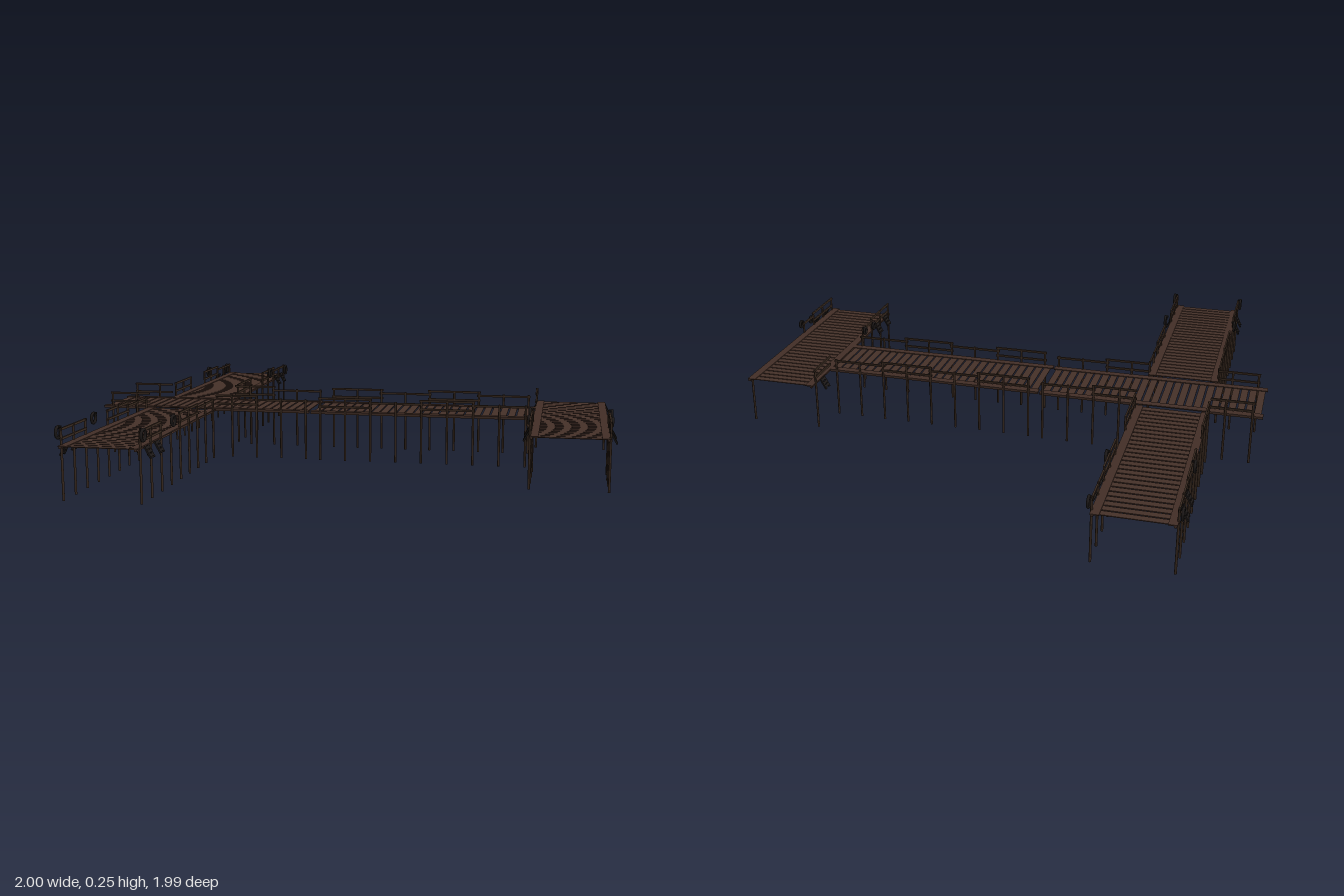
import * as THREE from 'three';

const mat = (name, color) => Object.assign(new THREE.MeshStandardMaterial({ color }), { name });

export function createModel() {
  const root = new THREE.Group();
  root.name = 'woodenPier';
  const plankWood = mat('plank brown', 0x463129);
  const edgeWood = mat('edge brown', 0x422e26);
  const postWood = mat('post dark brown', 0x38291f);
  const black = mat('fitting black', 0x1c1817);

  const DECK = 0.187, PITCH = 0.0985, SIDE = 0.136;

  // One pier section. u runs along the deck, v across it.
  function section(name, s) {
    const g = new THREE.Group();
    g.name = name;
    root.add(g);
    const [start, end] = s.span;
    const mid = (start + end) / 2, len = end - start;
    const place = (m, part, u, v, y) => {
      m.name = part;
      if (s.alongX) m.position.set(u, y, s.v + v);
      else m.position.set(s.v + v, y, u);
      g.add(m);
    };
    const box = (part, material, u, v, y, lu, lv, h) => place(
      new THREE.Mesh(s.alongX ? new THREE.BoxGeometry(lu, h, lv) : new THREE.BoxGeometry(lv, h, lu), material),
      part, u, v, y);

    // deck planks with gaps
    const n = 26, step = (len - 0.01) / n;
    for (let i = 0; i < n; i++) {
      box('plank', plankWood, mid + (i + 0.5 - n / 2) * step, 0, DECK - 0.001, step * 0.82, 0.25, 0.003);
    }

    const postU = i => s.postU + (i - 4) * PITCH;
    for (const side of [-1, 1]) {
      // flat edge boards and the beams under them
      box('edgeBoard', edgeWood, mid, side * 0.122, DECK + 0.001, len, 0.03, 0.004);
      for (const [a, b] of s.beams) {
        box('sideBeam', edgeWood, (a + b) / 2, side * 0.13, DECK - 0.003, b - a, 0.008, 0.009);
      }
      // railings: double or single, some on one side only
      const rails = s.rails.filter(r => !r[3] || r[3] === side);
      for (const [a, b, count] of rails) {
        for (const y of count === 2 ? [0.241, 0.209] : [0.228]) {
          box('rail', postWood, (postU(a) + postU(b)) / 2, side * SIDE, y, (b - a) * PITCH + 0.014, 0.006, 0.008);
        }
      }
      // posts, rising to the railing where there is one
      for (let i = 0; i <= 8; i++) {
        if (s.skip.includes(i)) continue;
        const spans = rails.filter(([a, b]) => i >= a && i <= b);
        let top = DECK;
        if (spans.length) top = spans.some(r => r[2] === 2) ? 0.245 : 0.235;
        place(new THREE.Mesh(new THREE.CylinderGeometry(0.0044, 0.0044, top, 8), postWood),
          'post', postU(i), side * SIDE, top / 2);
      }
      // rings hung beside the deck, each on a small hook
      for (const [u, y, r] of s.rings || []) {
        const ring = new THREE.Mesh(new THREE.TorusGeometry(r, 0.0055, 6, 16), black);
        ring.rotation.y = Math.PI / 2;
        place(ring, 'ring', u, side * 0.147, y);
        box('ringHook', black, u, side * 0.142, y + r, 0.006, 0.014, 0.006);
      }
      // short sloping boarding ladders
      for (const [u, y] of s.ladders || []) {
        const ladder = new THREE.Group();
        const bar = (w, h, z, by) => {
          const m = new THREE.Mesh(new THREE.BoxGeometry(0.006, h, w), black);
          m.name = 'ladderBar';
          m.position.set(0, by, z);
          ladder.add(m);
        };
        for (const z of [-0.0145, 0.0145]) bar(0.009, 0.046, z, 0);
        for (const by of [-0.012, 0.002, 0.016]) bar(0.037, 0.01, 0, by);
        ladder.rotation.z = side * 0.5;
        place(ladder, 'ladder', u, side * 0.148, y);
      }
    }
  }

  // main walkway in two lengths
  section('walkwayStart', {
    alongX: true, span: [-1, -0.161], v: -0.003, postU: -0.568, skip: [2, 3, 4],
    beams: [[-1, -0.8], [-0.54, -0.161]],
    rails: [[0, 1.5, 2], [4.4, 6, 2], [6, 8, 1]],
  });
  section('walkwayEnd', {
    alongX: true, span: [-0.154, 0.703], v: 0.002, postU: 0.278, skip: [],
    beams: [[-0.154, 0.703]],
    rails: [[0, 2, 2], [2, 4, 1], [4, 6, 2], [6, 8, 1]],
  });

  // side arms
  section('backArm', {
    alongX: false, span: [-0.994, -0.15], v: -0.67, postU: -0.571, skip: [],
    beams: [[-0.994, -0.15]],
    rails: [[0, 2, 1], [2, 4, 2], [6, 8, 2]],
    rings: [[-0.67, 0.23, 0.018], [-0.957, 0.212, 0.018]],
    ladders: [[-0.8, 0.183], [-0.897, 0.183]],
  });
  section('frontArm', {
    alongX: false, span: [0.146, 0.992], v: -0.67, postU: 0.571, skip: [],
    beams: [[0.146, 0.992]],
    rails: [[0, 2, 1], [2, 4, 2], [6, 8, 2]],
    rings: [[0.67, 0.23, 0.018], [0.963, 0.23, 0.019]],
    ladders: [[0.82, 0.166], [0.913, 0.166]],
  });

  // cross platform at the end
  section('endPlatform', {
    alongX: false, span: [-0.309, 0.537], v: 0.837, postU: 0.121, skip: [1, 2, 3, 4],
    beams: [[-0.309, 0.537]],
    rails: [[0, 1.4, 2, -1], [5, 6, 1], [6, 8, 2]],
    rings: [[0.22, 0.225, 0.013], [0.318, 0.212, 0.013]],
    ladders: [[-0.215, 0.166], [0.37, 0.183], [0.468, 0.183]],
  });

  return root;
}
